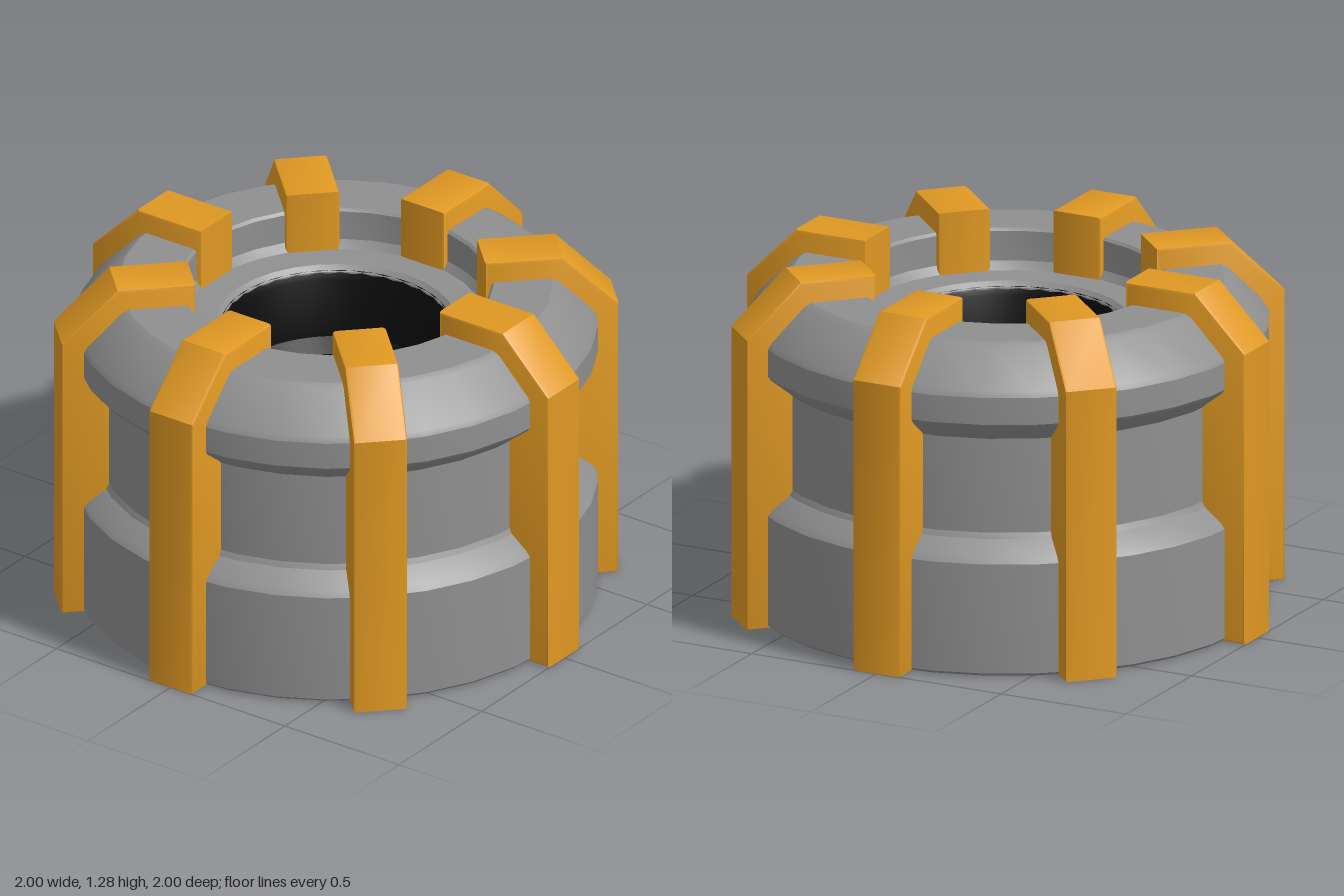
import * as THREE from 'three';
import { toCreasedNormals } from 'three/addons/utils/BufferGeometryUtils.js';

const grey = new THREE.MeshStandardMaterial({ color: 0x8f8f8f });
grey.name = 'grey metal';
const amber = new THREE.MeshStandardMaterial({ color: 0xdf9823 });
amber.name = 'amber ribs';
const black = new THREE.MeshStandardMaterial({ color: 0x0c0c0c });
black.name = 'black bore';

// Turned part from [radius, height] pairs, with crisp edges kept
function turned(name, profile, segments, material) {
  const points = profile.map(([r, y]) => new THREE.Vector2(r, y));
  const geometry = toCreasedNormals(new THREE.LatheGeometry(points, segments), 0.45);
  const mesh = new THREE.Mesh(geometry, material);
  mesh.name = name;
  return mesh;
}

// Rib cross-section in the radial plane, extruded sideways with a small bevel
function ribGeometry() {
  const bevel = 0.012;
  const width = 0.195;
  const shape = new THREE.Shape([
    [0.52 + bevel, bevel], [1 - bevel, bevel], [1 - bevel, 1.08 - bevel * 0.4],
    [0.8 - bevel * 0.4, 1.28 - bevel], [0.52 + bevel, 1.28 - bevel],
  ].map(([r, y]) => new THREE.Vector2(r, y)));
  const geometry = new THREE.ExtrudeGeometry(shape, {
    depth: width - 2 * bevel, bevelEnabled: true,
    bevelThickness: bevel, bevelSize: bevel, bevelSegments: 2,
  });
  geometry.translate(0, 0, -width / 2 + bevel);
  return toCreasedNormals(geometry, 0.6);
}

export function createModel() {
  const model = new THREE.Group();
  model.name = 'ribbedRing';

  // Waisted drum with a chamfered crown and a sunken inner ledge
  model.add(turned('drum', [
    [0, 0.004], [0.92, 0.004], [0.93, 0.014], [0.93, 0.42], [0.915, 0.44],
    [0.85, 0.49], [0.84, 0.51], [0.84, 0.86], [0.85, 0.87], [0.92, 0.925],
    [0.93, 0.94], [0.93, 1.04], [0.92, 1.06], [0.795, 1.187], [0.77, 1.2],
    [0.56, 1.2], [0.55, 1.19], [0.55, 1.08], [0.53, 1.05], [0.425, 1.045],
    [0.405, 1.025], [0.4, 0.72], [0, 0.72],
  ], 32, grey));

  // Dark lining of the central opening
  model.add(turned('bore', [
    [0.408, 1.03], [0.395, 1.0], [0.38, 0.78], [0.32, 0.74], [0, 0.73],
  ], 64, black));

  // Eight ribs clamped around the drum
  const geometry = ribGeometry();
  for (let i = 0; i < 8; i++) {
    const rib = new THREE.Mesh(geometry, amber);
    rib.name = `rib${i + 1}`;
    rib.rotation.y = (i * Math.PI) / 4;
    model.add(rib);
  }
  return model;
}
